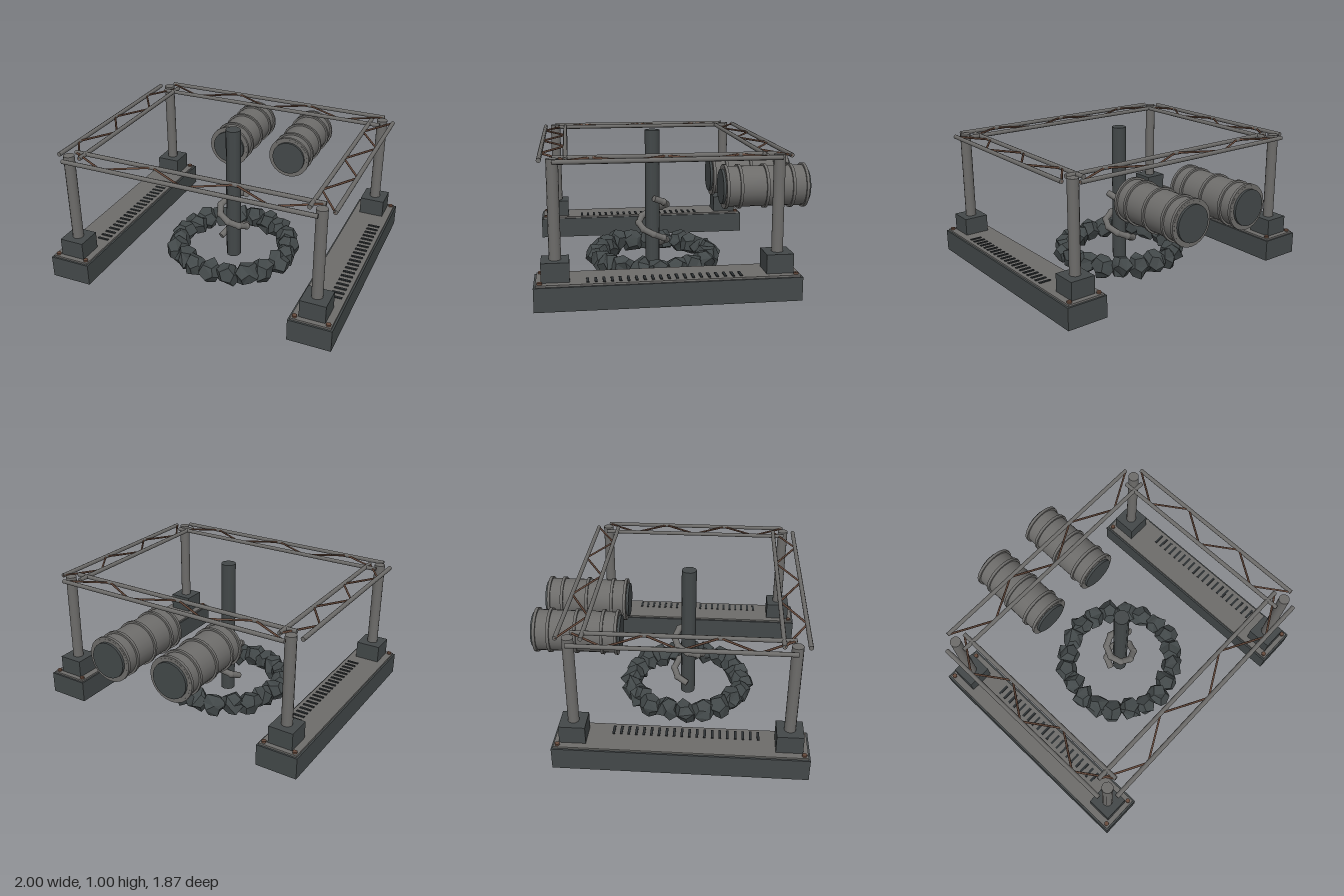
import * as THREE from 'three';
import { mergeVertices } from 'three/addons/utils/BufferGeometryUtils.js';

const mat = (name, color, flatShading = false) => {
  const m = new THREE.MeshStandardMaterial({ color, flatShading });
  m.name = name;
  return m;
};

export function createModel() {
  const root = new THREE.Group();
  root.name = 'campFrame';
  const dark = mat('darkSteel', 0x434849);
  const grey = mat('wornMetal', 0x6d6c6a);
  const rust = mat('rust', 0x664a3c);
  const slotMat = mat('slotBlack', 0x2c3032);
  const stone = mat('stone', 0x424849, true);

  const CZ = 0.117, BX = 0.857, LEG = 0.685, RAIL_Y = 0.945, GAP = 0.077;

  const add = (parent, name, geo, material, x = 0, y = 0, z = 0) => {
    const m = new THREE.Mesh(geo, material);
    m.name = name;
    m.position.set(x, y, z);
    parent.add(m);
    return m;
  };
  const group = (name, x = 0, y = 0, z = 0) => {
    const g = new THREE.Group();
    g.name = name;
    g.position.set(x, y, z);
    root.add(g);
    return g;
  };
  // Cylinder between two points
  const up = new THREE.Vector3(0, 1, 0);
  const rod = (parent, name, a, b, r, material, sides = 8) => {
    const d = b.clone().sub(a);
    const m = add(parent, name, new THREE.CylinderGeometry(r, r, d.length(), sides), material);
    m.position.copy(a).add(b).multiplyScalar(0.5);
    m.quaternion.setFromUnitVectors(up, d.normalize());
    return m;
  };
  const V = (x, y, z) => new THREE.Vector3(x, y, z);

  // Two long bases with plates, slots, bolts, leg blocks and columns
  for (const s of [-1, 1]) {
    const g = group(s < 0 ? 'rightBase' : 'leftBase', s * BX, 0, CZ);
    add(g, 'beam', new THREE.BoxGeometry(0.286, 0.15, 1.63), dark, 0, 0.137, 0);
    add(g, 'topPlate', new THREE.BoxGeometry(0.262, 0.014, 1.606), grey, 0, 0.217, 0);
    for (let i = 0; i < 20; i++)
      add(g, 'slot', new THREE.BoxGeometry(0.08, 0.008, 0.016), slotMat, 0.065, 0.226, (i - 9.5) * 0.049 + 0.028);
    for (const z of [-1, 1]) {
      for (const x of [-1, 1])
        add(g, 'bolt', new THREE.CylinderGeometry(0.016, 0.016, 0.014, 8), rust, x * 0.108, 0.229, z * 0.778);
      add(g, 'legBlock', new THREE.BoxGeometry(0.17, 0.125, 0.17), dark, 0, 0.282, z * LEG);
      add(g, 'column', new THREE.CylinderGeometry(0.037, 0.037, 0.615, 12), grey, 0, 0.6475, z * LEG);
    }
  }

  // Flat trusses: a pair of rails with zigzag bracing
  const truss = (name, half, cx, cz, alongX) => {
    const g = group(name, cx, RAIL_Y, cz);
    const p = (t, o) => (alongX ? V(t, 0, o) : V(o, 0, t));
    for (const o of [-GAP, GAP]) rod(g, 'rail', p(-half, o), p(half, o), 0.015, grey);
    const first = alongX ? -GAP : GAP;
    for (let i = 0; i < 6; i++) {
      const t = k => -half + (k * half) / 3;
      const o = i % 2 ? -first : first;
      rod(g, 'brace', p(t(i), o), p(t(i + 1), -o), 0.007, rust, 6);
    }
  };
  for (const s of [-1, 1]) {
    truss(s < 0 ? 'backTruss' : 'frontTruss', BX, 0, CZ + s * LEG, true);
    truss(s < 0 ? 'rightTruss' : 'leftTruss', LEG, s * BX, CZ, false);
  }

  // Central post with a coiled pipe around it
  add(root, 'centralPost', new THREE.CylinderGeometry(0.052, 0.052, 0.99, 10), dark, 0, 0.515, CZ);
  const coil = group('coiledPipe', 0, 0, CZ);
  const N = 12;
  const coilPoint = i => {
    const a = (i / N) * Math.PI * 3;
    return V(0.1 * Math.cos(a), 0.535 - (0.395 * i) / N, -0.1 * Math.sin(a));
  };
  for (let i = 0; i < N; i++) {
    rod(coil, 'pipeSection', coilPoint(i), coilPoint(i + 1), 0.023, grey, 10);
    if (i) add(coil, 'pipeJoint', new THREE.SphereGeometry(0.026, 10, 8), grey).position.copy(coilPoint(i));
  }

  // Two barrels lying front to back
  for (const s of [-1, 1]) {
    const b = group(s < 0 ? 'rightBarrel' : 'leftBarrel', s * 0.24, 0.636, -0.635);
    const drum = (name, r, len, material, z) => {
      add(b, name, new THREE.CylinderGeometry(r, r, len, 24), material, 0, 0, z).rotation.x = Math.PI / 2;
    };
    drum('barrelBody', 0.142, 0.576, grey, 0);
    for (const z of [-0.277, -0.182, 0, 0.182, 0.277]) drum('hoop', 0.155, 0.02, grey, z);
    for (const z of [-1, 1]) drum('lid', 0.122, 0.02, dark, z * 0.295);
  }

  // Ring of rough stones
  let seed = 11;
  const rnd = () => (seed = (seed * 16807) % 2147483647) / 2147483647;
  const ring = group('stoneRing', 0, 0.105, CZ);
  for (let i = 0; i < 20; i++) {
    let geo = new THREE.DodecahedronGeometry(0.084, 0);
    geo.deleteAttribute('normal');
    geo.deleteAttribute('uv');
    geo = mergeVertices(geo, 0.001);
    const pos = geo.attributes.position;
    for (let k = 0; k < pos.count; k++) {
      const f = 0.8 + rnd() * 0.42;
      pos.setXYZ(k, pos.getX(k) * f, pos.getY(k) * f, pos.getZ(k) * f);
    }
    geo.computeVertexNormals();
    const a = (i / 20) * Math.PI * 2;
    const r = 0.4 + (rnd() - 0.5) * 0.03;
    const m = add(ring, 'stone', geo, stone, r * Math.cos(a), (rnd() - 0.5) * 0.016, r * Math.sin(a));
    m.rotation.set(rnd() * 6, rnd() * 6, rnd() * 6);
  }
  return root;
}
